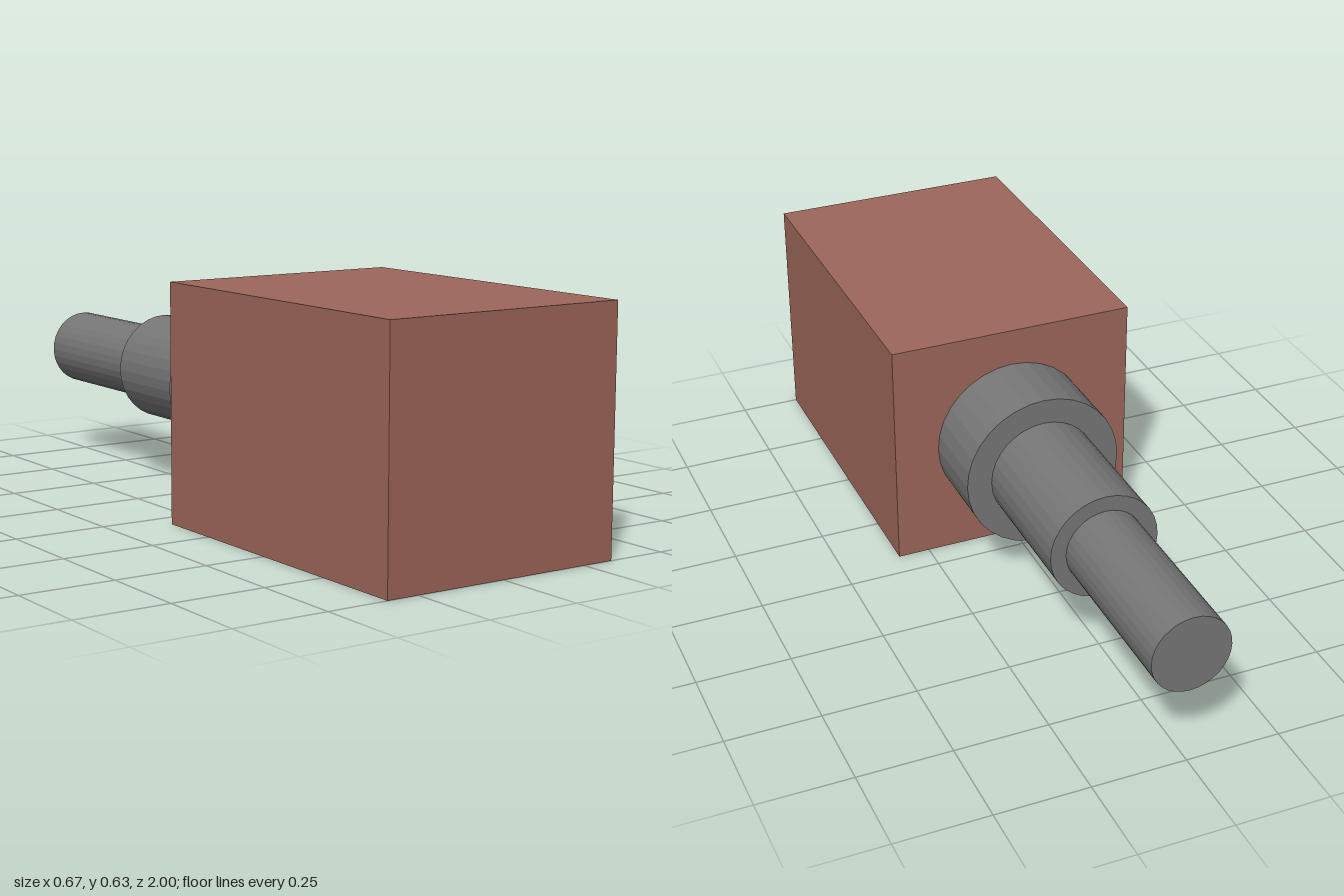
import * as THREE from 'three';

export function createModel() {
  const model = new THREE.Group();
  const brown = new THREE.MeshStandardMaterial({ color: 0x9c6659, name: 'brown' });
  const grey = new THREE.MeshStandardMaterial({ color: 0x767676, name: 'grey', flatShading: true });
  const axisY = 0.316;

  // Rectangular body
  const body = new THREE.Mesh(new THREE.BoxGeometry(0.674, 0.632, 0.927), brown);
  body.name = 'body';
  body.position.set(0, axisY, 0.5365);
  model.add(body);

  // Stepped shaft running back from the body: name, radius, front z, back z
  const steps = [
    ['collar', 0.215, 0.073, -0.137],
    ['middleShaft', 0.147, -0.137, -0.52],
    ['endShaft', 0.105, -0.52, -1],
  ];
  for (const [name, radius, front, back] of steps) {
    const geometry = new THREE.CylinderGeometry(radius, radius, front - back, 32);
    geometry.rotateX(Math.PI / 2);
    const step = new THREE.Mesh(geometry, grey);
    step.name = name;
    step.position.set(0, axisY, (front + back) / 2);
    model.add(step);
  }
  return model;
}
